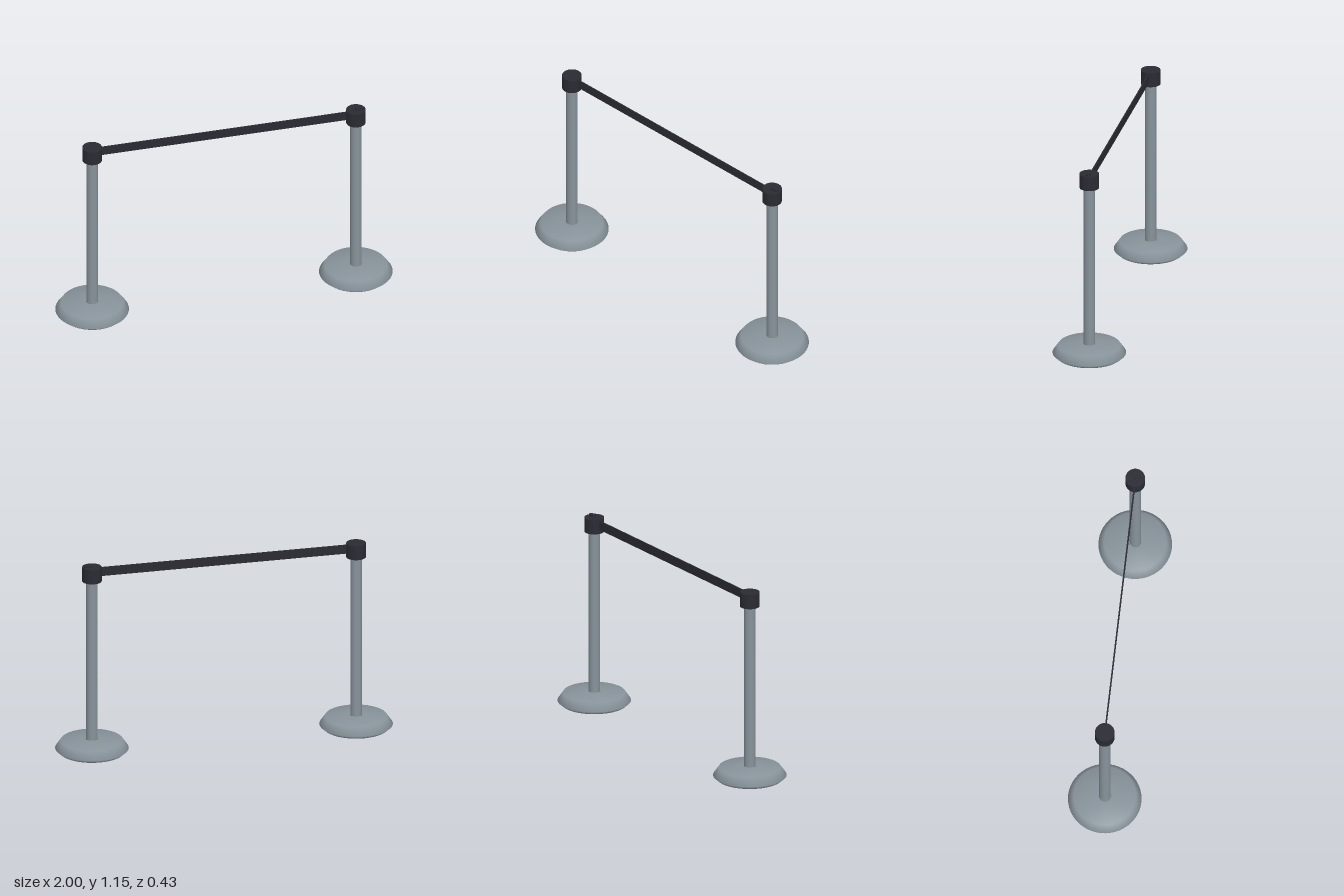
import * as THREE from 'three';

const steel = new THREE.MeshStandardMaterial({ color: 0x87929a });
steel.name = 'brushed grey';
const black = new THREE.MeshStandardMaterial({ color: 0x2a2a33 });
black.name = 'charcoal black';

const POST_X = 0.787;

function part(name, geometry, material, x = 0, y = 0, z = 0) {
  const mesh = new THREE.Mesh(geometry, material);
  mesh.name = name;
  mesh.position.set(x, y, z);
  return mesh;
}

// Weighted foot: shallow dish underneath, bevelled rim, gently sloped top
function baseGeometry() {
  const profile = [
    [0.033, 0.018], [0.19, 0], [0.213, 0.02], [0.18, 0.068], [0.042, 0.08], [0.032, 0.072],
  ].map(([r, y]) => new THREE.Vector2(r, y));
  return new THREE.LatheGeometry(profile, 48);
}

// Rounded slot for the belt release button
function buttonGeometry() {
  const r = 0.013, half = 0.011;
  const slot = new THREE.Shape();
  slot.absarc(half, 0, r, -Math.PI / 2, Math.PI / 2, false);
  slot.absarc(-half, 0, r, Math.PI / 2, Math.PI * 1.5, false);
  const geometry = new THREE.ExtrudeGeometry(slot, { depth: 0.014, bevelEnabled: false, curveSegments: 10 });
  return geometry.rotateX(-Math.PI / 2);
}

function createPost(name, x) {
  const post = new THREE.Group();
  post.name = name;
  post.position.x = x;
  post.add(
    part('base', baseGeometry(), steel),
    part('pole', new THREE.CylinderGeometry(0.033, 0.033, 1.06, 32), steel, 0, 0.533),
    part('head', new THREE.CylinderGeometry(0.057, 0.057, 0.087, 32), black, 0, 1.0985),
  );
  return post;
}

export function createModel() {
  const model = new THREE.Group();
  model.name = 'beltBarrier';

  const leftPost = createPost('leftPost', POST_X);
  leftPost.add(part('releaseButton', buttonGeometry(), black, 0.02, 1.139));
  model.add(leftPost, createPost('rightPost', -POST_X));

  // Retractable belt stretched between the heads
  model.add(part('belt', new THREE.BoxGeometry(POST_X * 2 - 0.08, 0.054, 0.007), black, 0, 1.108));
  return model;
}
